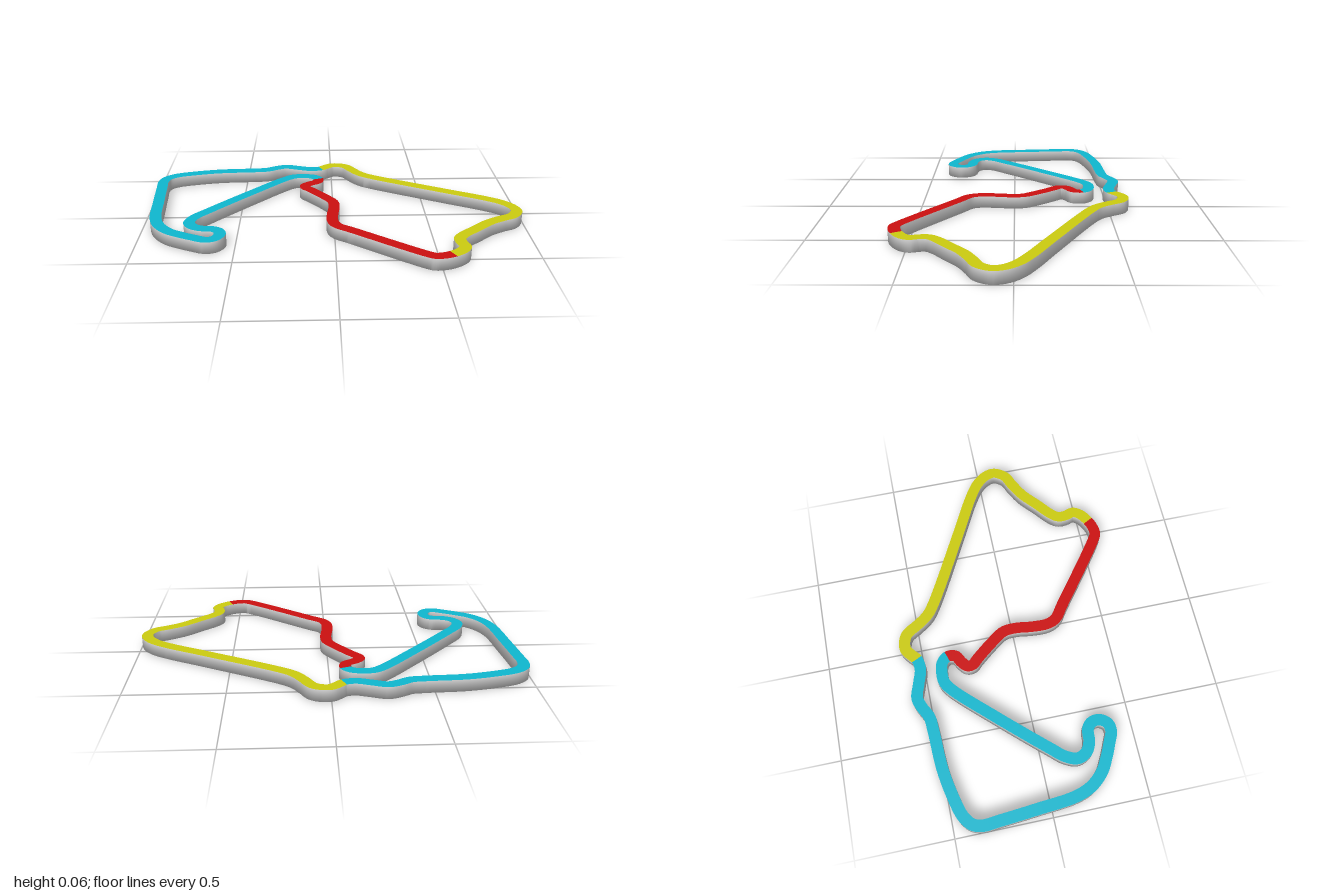
import * as THREE from 'three';

const HALF = 0.03, HEIGHT = 0.063, STEPS = 8;

// Centre line of each sector as x, z pairs; the sectors join into one closed loop.
const BLUE = [
  -.061, -.529, -.12, -.519, -.195, -.54, -.27, -.561, -.324, -.545, -.382, -.516, -.452, -.508,
  -.655, -.497, -.799, -.471, -.906, -.439, -.955, -.401, -.971, -.353, -.965, -.262, -.949, -.075,
  -.928, .128, -.896, .214, -.837, .283, -.773, .322, -.698, .358, -.644, .38, -.602, .373,
  -.575, .332, -.582, .291, -.612, .266, -.676, .257, -.725, .23, -.746, .182, -.725, .123,
  -.666, .053, -.452, -.182, -.254, -.385, -.211, -.409, -.163, -.412, -.11, -.401,
];
const RED = [
  -.08, -.369, -.085, -.326, -.126, -.3, -.152, -.275, -.152, -.246, -.12, -.209, -.04, -.107,
  -.003, -.048, .003, .016, -.008, .112, -.008, .193, .013, .241, .083, .294, .441, .561,
  .468, .573, .511, .569,
];
const YELLOW = [
  .553, .553, .602, .519, .623, .481, .612, .439, .612, .396, .639, .358, .714, .294, .794, .225,
  .869, .182, .933, .15, .968, .091, .955, .037, .912, -.016, .832, -.07, .618, -.182, .206, -.406,
  .163, -.444, .126, -.497, .088, -.556, .045, -.577, .003, -.577, -.035, -.551,
];

const material = (name, color) => new THREE.MeshStandardMaterial({ name, color });

// Sweeps a cross-section of [side offset, y] points along the samples from..to.
function sweep(curve, count, from, to, section, closed) {
  const positions = [], index = [], k = section.length;
  const rings = closed ? to - from : to - from + 1;
  for (let i = 0; i < rings; i++) {
    const t = ((from + i) % count) / count;
    const p = curve.getPoint(t), d = curve.getTangent(t);
    for (const [s, y] of section) positions.push(p.x - d.z * s, y, p.z + d.x * s);
  }
  for (let i = 0; i < to - from; i++) {
    const a = i * k, b = ((i + 1) % rings) * k;
    for (let j = 0; j < k - 1; j++) {
      index.push(a + j, a + j + 1, b + j, b + j, a + j + 1, b + j + 1);
    }
  }
  const g = new THREE.BufferGeometry();
  g.setAttribute('position', new THREE.Float32BufferAttribute(positions, 3));
  g.setIndex(index);
  g.computeVertexNormals();
  return g;
}

export function createModel() {
  const group = new THREE.Group();
  group.name = 'raceCircuit';

  const flat = [...BLUE, ...RED, ...YELLOW], points = [];
  for (let i = 0; i < flat.length; i += 2) points.push(new THREE.Vector3(flat[i], 0, flat[i + 1]));
  const curve = new THREE.CatmullRomCurve3(points, true, 'centripetal');
  const count = points.length * STEPS;

  const add = (name, geometry, mat) => {
    const mesh = new THREE.Mesh(geometry, mat);
    mesh.name = name;
    group.add(mesh);
  };

  // Walls and underside, shaded softly around the lower edges
  const channel = [[HALF, HEIGHT], [HALF, 0], [-HALF, 0], [-HALF, HEIGHT]];
  const body = material('light grey', 0xdcdcdc);
  body.side = THREE.DoubleSide;
  add('trackBody', sweep(curve, count, 0, count, channel, true), body);

  // Coloured road surface, one strip per sector
  const road = [[-HALF, HEIGHT], [HALF, HEIGHT]];
  let start = 0;
  for (const [name, sector, color] of [
    ['blue', BLUE, 0x0fb8d0], ['red', RED, 0xcc1010], ['yellow', YELLOW, 0xcccc10],
  ]) {
    const end = start + (sector.length / 2) * STEPS;
    const geometry = sweep(curve, count, start, end, road, false);
    const normals = geometry.attributes.normal;
    for (let i = 0; i < normals.count; i++) normals.setXYZ(i, 0, 1, 0);
    add(name + 'Sector', geometry, material(name, color));
    start = end;
  }
  return group;
}
